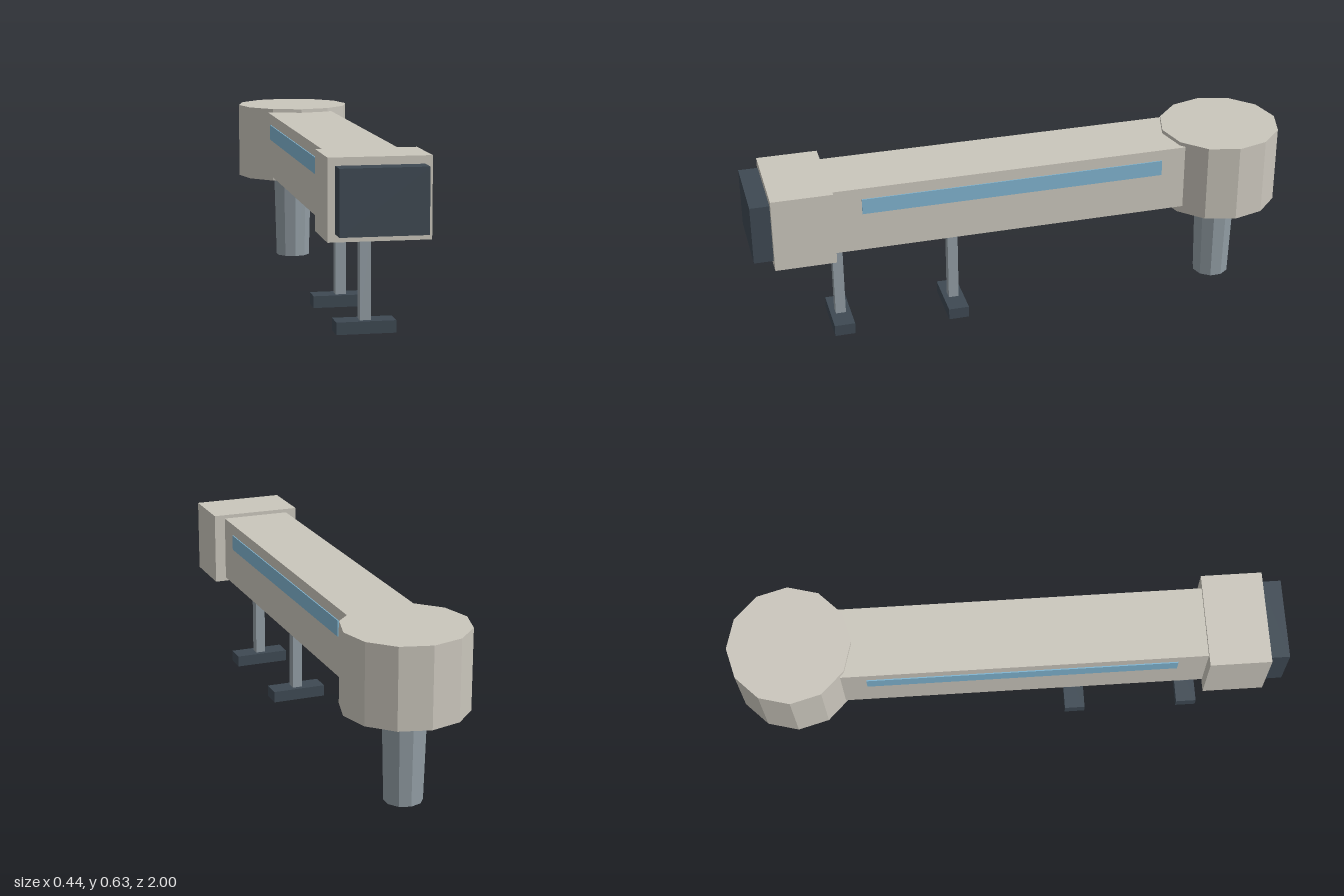
import * as THREE from 'three';

function material(name, color, flatShading = false) {
  const m = new THREE.MeshStandardMaterial({ color, flatShading });
  m.name = name;
  return m;
}

export function createModel() {
  const group = new THREE.Group();
  group.name = 'boardingBridge';

  const panel = material('warmGreyPanel', 0xcac6bc, true);
  const steel = material('steelGrey', 0x929da4, true);
  const rubber = material('darkRubber', 0x3e4953, true);
  const glass = material('blueGlass', 0x80b4d0, true);

  function add(name, geometry, mat, x, y, z) {
    const mesh = new THREE.Mesh(geometry, mat);
    mesh.name = name;
    mesh.position.set(x, y, z);
    group.add(mesh);
  }

  // Box given by its half width about x = 0 and its y and z ranges
  function addBox(name, mat, halfX, y0, y1, z0, z1) {
    add(name, new THREE.BoxGeometry(halfX * 2, y1 - y0, z1 - z0), mat, 0, (y0 + y1) / 2, (z0 + z1) / 2);
  }

  // Rotunda on its tapered column
  add('rotunda', new THREE.CylinderGeometry(0.222, 0.222, 0.29, 12), panel, 0, 0.482, -0.778);
  add('rotundaColumn', new THREE.CylinderGeometry(0.077, 0.068, 0.337, 10), steel, 0, 0.1685, -0.778);

  // Tunnel, cab and the bellows that meet the aircraft
  addBox('tunnel', panel, 0.13, 0.367, 0.613, -0.6, 0.71);
  addBox('cab', panel, 0.172, 0.353, 0.627, 0.71, 0.93);
  addBox('bellows', rubber, 0.147, 0.38, 0.6, 0.93, 1);

  // Long window strip on each side
  for (const side of [-1, 1]) {
    add('windowStrip', new THREE.BoxGeometry(0.006, 0.058, 1.115), glass, side * 0.131, 0.542, 0.047);
  }

  // Support legs with wide feet
  for (const z of [0.685, 0.255]) {
    addBox('supportLeg', steel, 0.019, 0.043, 0.367, z - 0.019, z + 0.019);
    addBox('supportFoot', rubber, 0.103, 0, 0.043, z - 0.038, z + 0.038);
  }

  return group;
}
